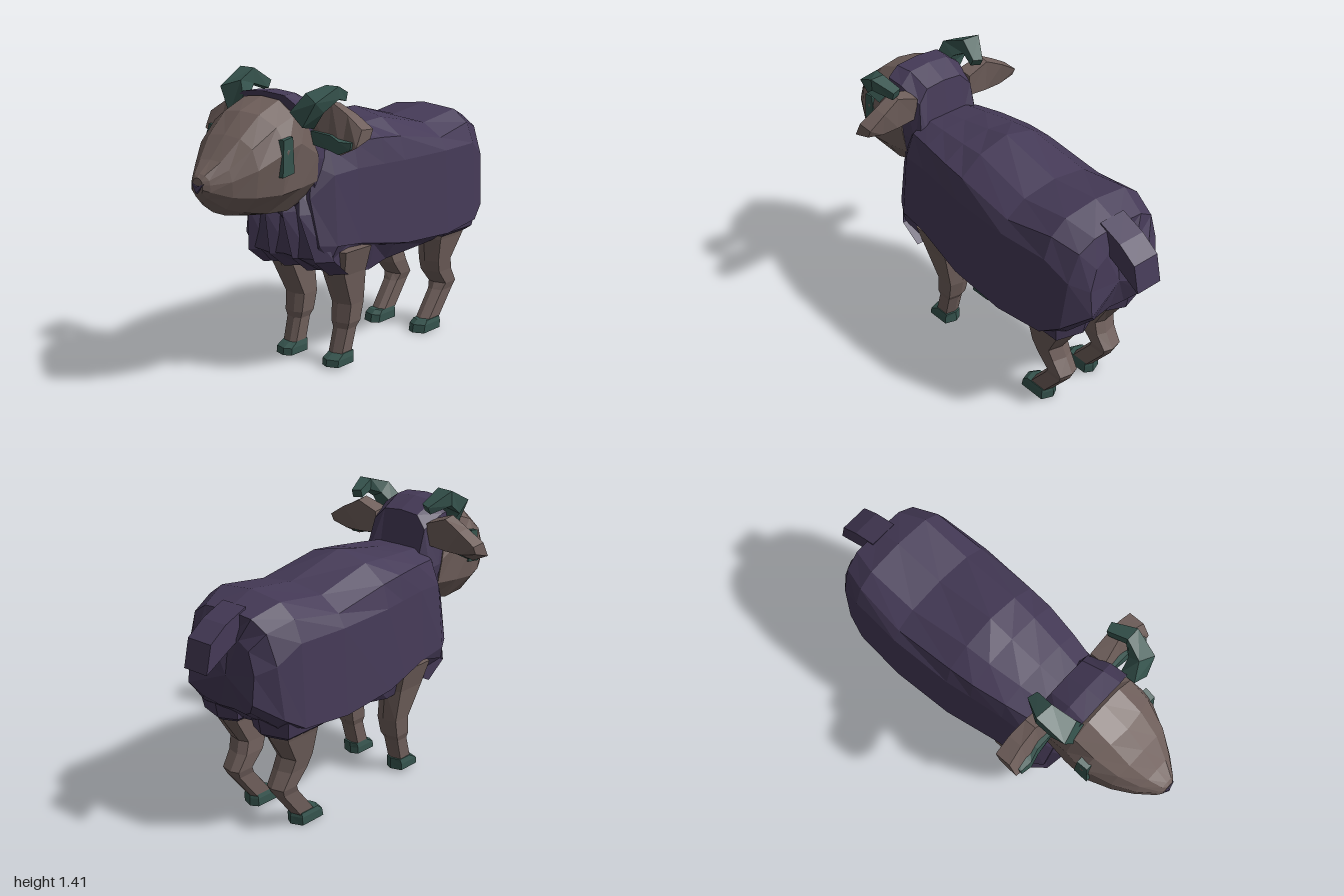
import * as THREE from 'three';

const WOOL = 0x453a57, SKIN = 0x6f5f5b, HORN = 0x36544e;

// Skin a list of equal-length rings of [x, y, z] points and cap both ends
function loft(name, color, rings) {
  const n = rings[0].length, pos = [];
  const tri = (a, b, c) => pos.push([a, b, c]);
  for (let i = 0; i < rings.length - 1; i++) {
    for (let j = 0; j < n; j++) {
      const k = (j + 1) % n, a = rings[i], b = rings[i + 1];
      tri(a[j], a[k], b[k]);
      tri(a[j], b[k], b[j]);
    }
  }
  const mid = (r) => [0, 1, 2].map((c) => r.reduce((s, p) => s + p[c], 0) / n);
  const first = rings[0], last = rings[rings.length - 1];
  for (let j = 0; j < n; j++) {
    const k = (j + 1) % n;
    tri(mid(first), first[k], first[j]);
    tri(mid(last), last[j], last[k]);
  }
  // Turn the faces outward if the enclosed volume is negative
  let volume = 0;
  for (const [a, b, c] of pos) {
    volume += a[0] * (b[1] * c[2] - b[2] * c[1]) + a[1] * (b[2] * c[0] - b[0] * c[2]) + a[2] * (b[0] * c[1] - b[1] * c[0]);
  }
  const flat = pos.flatMap(([a, b, c]) => (volume < 0 ? [a, c, b] : [a, b, c])).flat();
  const geo = new THREE.BufferGeometry();
  geo.setAttribute('position', new THREE.Float32BufferAttribute(flat, 3));
  geo.computeVertexNormals();
  const mesh = new THREE.Mesh(geo, new THREE.MeshStandardMaterial({ color, flatShading: true }));
  mesh.name = name;
  return mesh;
}

// Complete a half ring (first and last point on the centre line) by mirroring
const whole = (half) => [...half, ...half.slice(1, -1).reverse().map(([x, y, z]) => [-x, y, z])];

// Limb ring: six-sided section at a height, ridged along the front and back
function limbRing(y, x0, x1, z0, z1, s) {
  const xm = x0 + (x1 - x0) * 0.4, bz = (z1 - z0) * 0.12;
  return [[xm, z0], [x1, z0 + bz], [x1, z1 - bz], [xm, z1], [x0, z1 - bz], [x0, z0 + bz]].map(([x, z]) => [x * s, y, z]);
}

function addBody(g) {
  // z, top, ridge half-width, ridge y, shoulder width, side width, hem y, belly y
  const rows = [
    [0.22, 1.13, 0.13, 1.1, 0.23, 0.275, 0.615, 0.455],
    [0.05, 1.16, 0.15, 1.1, 0.26, 0.3, 0.585, 0.44],
    [-0.08, 1.19, 0.16, 1.09, 0.27, 0.32, 0.565, 0.465],
    [-0.4, 1.11, 0.18, 1.04, 0.28, 0.335, 0.55, 0.475],
    [-0.66, 1.14, 0.18, 1.08, 0.26, 0.32, 0.57, 0.49],
  ];
  const rings = rows.map(([z, t, rw, ry, uw, sw, hy, by]) => whole([
    [0, t, z], [rw, (t + ry) / 2 + 0.01, z], [uw, ry - 0.02, z], [sw - 0.02, 0.96, z],
    [sw, hy, z], [sw - 0.08, hy - 0.02, z], [0.19, by, z], [0, by + 0.02, z]]));
  // Slanted chest
  rings.unshift(whole([
    [0, 1.11, 0.38], [0.11, 1.11, 0.37], [0.2, 1.07, 0.36], [0.24, 0.95, 0.37],
    [0.265, 0.63, 0.38], [0.24, 0.56, 0.4], [0.17, 0.48, 0.33], [0, 0.5, 0.33]]));
  rings.unshift(whole([
    [0, 1.05, 0.44], [0.11, 1.04, 0.43], [0.16, 1.0, 0.44], [0.18, 0.85, 0.47],
    [0.22, 0.64, 0.455], [0.18, 0.57, 0.445], [0.09, 0.56, 0.445], [0, 0.57, 0.445]]));
  // Rump
  rings.push(whole([
    [0, 1.08, -0.8], [0.14, 1.07, -0.8], [0.22, 1.02, -0.79], [0.27, 0.88, -0.78],
    [0.29, 0.63, -0.76], [0.23, 0.58, -0.75], [0.15, 0.54, -0.7], [0, 0.54, -0.7]]));
  rings.push(whole([
    [0, 0.97, -0.8], [0.09, 0.97, -0.83], [0.16, 0.94, -0.84], [0.2, 0.84, -0.85],
    [0.2, 0.71, -0.865], [0.15, 0.65, -0.83], [0.08, 0.61, -0.79], [0, 0.61, -0.78]]));
  g.add(loft('body', WOOL, rings));

  // Chest pleats
  for (const x of [-0.19, -0.065, 0.065, 0.19]) {
    const fold = (k, w, y, z) => [[x * k - w, y, z - 0.07], [x * k, y, z], [x * k + w, y, z - 0.07]];
    g.add(loft('chestPleat', WOOL, [fold(0.7, 0.03, 0.88, 0.49), fold(0.8, 0.04, 0.78, 0.515), fold(1.05, 0.06, 0.56, 0.465), fold(1.05, 0.055, 0.48, 0.36)]));
  }

  const tailRing = (z0, y0, z1, y1) => [[-0.07, y0, z0], [0.07, y0, z0], [0.07, y1, z1], [-0.07, y1, z1]];
  g.add(loft('tail', WOOL, [
    tailRing(-0.76, 1.1, -0.78, 0.98), tailRing(-0.88, 1.05, -0.87, 0.93), tailRing(-0.97, 0.985, -1.0, 0.855)]));

  // Woolly neck and hood behind the head
  g.add(loft('neckWool', WOOL, [
    whole([[0, 1.33, 0.57], [0.12, 1.32, 0.57], [0.18, 1.28, 0.56], [0.2, 1.05, 0.46], [0.17, 0.86, 0.45], [0, 0.79, 0.5]]),
    whole([[0, 1.33, 0.48], [0.11, 1.32, 0.48], [0.175, 1.27, 0.47], [0.2, 1.03, 0.42], [0.18, 0.83, 0.44], [0, 0.75, 0.46]]),
    whole([[0, 1.28, 0.37], [0.1, 1.27, 0.37], [0.155, 1.21, 0.36], [0.19, 1.02, 0.36], [0.18, 0.82, 0.38], [0, 0.7, 0.42]]),
    whole([[0, 1.11, 0.34], [0.1, 1.1, 0.34], [0.15, 1.07, 0.32], [0.19, 0.98, 0.31], [0.18, 0.78, 0.34], [0, 0.66, 0.38]])]));
}

function addHead(g) {
  g.add(loft('head', SKIN, [
    whole([[0, 1.28, 0.54], [0.1, 1.27, 0.54], [0.18, 1.22, 0.5], [0.205, 1.05, 0.44], [0.19, 0.93, 0.43], [0.13, 0.84, 0.47], [0, 0.81, 0.5]]),
    whole([[0, 1.31, 0.58], [0.1, 1.3, 0.58], [0.185, 1.24, 0.58], [0.22, 1.12, 0.57], [0.205, 0.92, 0.56], [0.13, 0.81, 0.57], [0, 0.78, 0.58]]),
    whole([[0, 1.26, 0.72], [0.1, 1.25, 0.71], [0.18, 1.2, 0.69], [0.23, 1.1, 0.67], [0.205, 0.91, 0.68], [0.13, 0.82, 0.7], [0, 0.795, 0.71]]),
    whole([[0, 1.17, 0.82], [0.09, 1.16, 0.82], [0.15, 1.12, 0.81], [0.175, 1.03, 0.8], [0.16, 0.91, 0.8], [0.1, 0.84, 0.81], [0, 0.815, 0.82]]),
    whole([[0, 1.075, 0.91], [0.06, 1.07, 0.91], [0.1, 1.04, 0.9], [0.115, 0.99, 0.9], [0.11, 0.92, 0.89], [0.07, 0.865, 0.89], [0, 0.845, 0.9]]),
    whole([[0, 1.025, 0.975], [0.03, 1.02, 0.975], [0.05, 1.0, 0.97], [0.055, 0.98, 0.97], [0.055, 0.95, 0.97], [0.035, 0.92, 0.965], [0, 0.905, 0.96]]),
    whole([[0, 1.01, 0.99], [0.015, 1.005, 0.99], [0.025, 0.995, 0.99], [0.03, 0.98, 0.99], [0.03, 0.96, 0.99], [0.02, 0.945, 0.985], [0, 0.94, 0.985]])]));
  const noseRing = (z) => [[-0.035, 0.985, z - 0.01], [0, 0.972, z], [0.035, 0.985, z - 0.01], [0, 0.943, z]];
  g.add(loft('nose', WOOL, [noseRing(0.95), noseRing(1.0)]));

  for (const [side, s] of [['left', 1], ['right', -1]]) {
    const eyeRing = (d) => [[0.216, 0.99, 0.705], [0.214, 1.15, 0.695], [0.218, 1.16, 0.64], [0.216, 1.0, 0.63]]
      .map(([x, y, z]) => [s * (x + d), y, z]);
    g.add(loft(side + 'Eye', HORN, [eyeRing(-0.03), eyeRing(0.012)]));

    // Ear: x with (y, z) of upper back, upper front, lower front, lower back
    const earRing = (x, ...p) => p.map(([y, z]) => [s * x, y, z]);
    g.add(loft(side + 'Ear', SKIN, [
      earRing(0.16, [1.24, 0.37], [1.25, 0.45], [1.14, 0.46], [1.13, 0.38]),
      earRing(0.27, [1.28, 0.37], [1.29, 0.43], [1.1, 0.46], [1.12, 0.38]),
      earRing(0.36, [1.235, 0.36], [1.24, 0.43], [1.07, 0.48], [1.12, 0.38]),
      earRing(0.445, [1.18, 0.36], [1.185, 0.44], [1.11, 0.48], [1.14, 0.38])]));
    g.add(loft(side + 'InnerEar', HORN, [
      earRing(0.19, [1.16, 0.43], [1.16, 0.475], [1.1, 0.47], [1.12, 0.43]),
      earRing(0.3, [1.15, 0.43], [1.15, 0.475], [1.085, 0.48], [1.1, 0.43]),
      earRing(0.36, [1.14, 0.43], [1.13, 0.49], [1.075, 0.495], [1.09, 0.43]),
      earRing(0.42, [1.135, 0.44], [1.13, 0.485], [1.1, 0.49], [1.12, 0.44])]));
  }
}

// Square horn swept along a short path of [x, y, z, half-width]
function horn(name, path) {
  const pts = path.map(([x, y, z]) => new THREE.Vector3(x, y, z));
  const rings = pts.map((p, i) => {
    const dir = pts[Math.min(i + 1, pts.length - 1)].clone().sub(pts[Math.max(i - 1, 0)]).normalize();
    const u = new THREE.Vector3(1, 0, 0).addScaledVector(dir, -dir.x).normalize();
    const v = dir.clone().cross(u);
    const w = path[i][3];
    return [[1, 1], [-1, 1], [-1, -1], [1, -1]].map(([a, b]) =>
      p.clone().addScaledVector(u, a * w).addScaledVector(v, b * w * 0.8).toArray());
  });
  return loft(name, HORN, rings);
}

function addLegs(g) {
  for (const [side, s] of [['Left', 1], ['Right', -1]]) {
    const limb = (name, color, rows) => g.add(loft(name, color, rows.map((r) => limbRing(...r, s))));
    // Rows: y, inner x, outer x, back z, front z
    limb('front' + side + 'Leg', SKIN, [
      [0.58, 0.08, 0.25, 0.08, 0.33], [0.46, 0.09, 0.22, 0.09, 0.3], [0.3, 0.085, 0.2, 0.09, 0.215],
      [0.21, 0.09, 0.195, 0.11, 0.225], [0.18, 0.1, 0.185, 0.13, 0.22], [0.05, 0.1, 0.18, 0.165, 0.26]]);
    limb('front' + side + 'Hoof', HORN, [
      [0.07, 0.1, 0.185, 0.15, 0.25], [0.045, 0.095, 0.19, 0.15, 0.3], [0.012, 0.095, 0.19, 0.15, 0.305]]);
    limb('back' + side + 'Leg', SKIN, [
      [0.56, 0.08, 0.25, -0.74, -0.46], [0.48, 0.09, 0.23, -0.71, -0.46], [0.36, 0.09, 0.21, -0.63, -0.485],
      [0.3, 0.085, 0.2, -0.65, -0.51], [0.225, 0.09, 0.195, -0.695, -0.58], [0.19, 0.1, 0.185, -0.68, -0.56],
      [0.04, 0.1, 0.18, -0.56, -0.44]]);
    limb('back' + side + 'Hoof', HORN, [
      [0.06, 0.1, 0.185, -0.57, -0.43], [0.04, 0.095, 0.19, -0.575, -0.4], [0, 0.095, 0.19, -0.575, -0.39]]);
    // Wool cuff over the thigh
    limb('back' + side + 'Cuff', WOOL, [
      [0.6, 0.04, 0.28, -0.77, -0.42], [0.52, 0.05, 0.265, -0.755, -0.43], [0.5, 0.07, 0.24, -0.73, -0.46]]);
  }
}

export function createModel() {
  const g = new THREE.Group();
  g.name = 'sheep';
  addBody(g);
  addHead(g);
  g.add(horn('leftHorn', [[0.22, 1.22, 0.57, 0.05], [0.28, 1.3, 0.555, 0.045], [0.31, 1.34, 0.47, 0.035], [0.28, 1.31, 0.37, 0.025]]));
  g.add(horn('rightHorn', [[-0.15, 1.23, 0.54, 0.05], [-0.2, 1.32, 0.53, 0.055], [-0.22, 1.37, 0.43, 0.045], [-0.18, 1.32, 0.34, 0.025]]));
  addLegs(g);
  return g;
}
